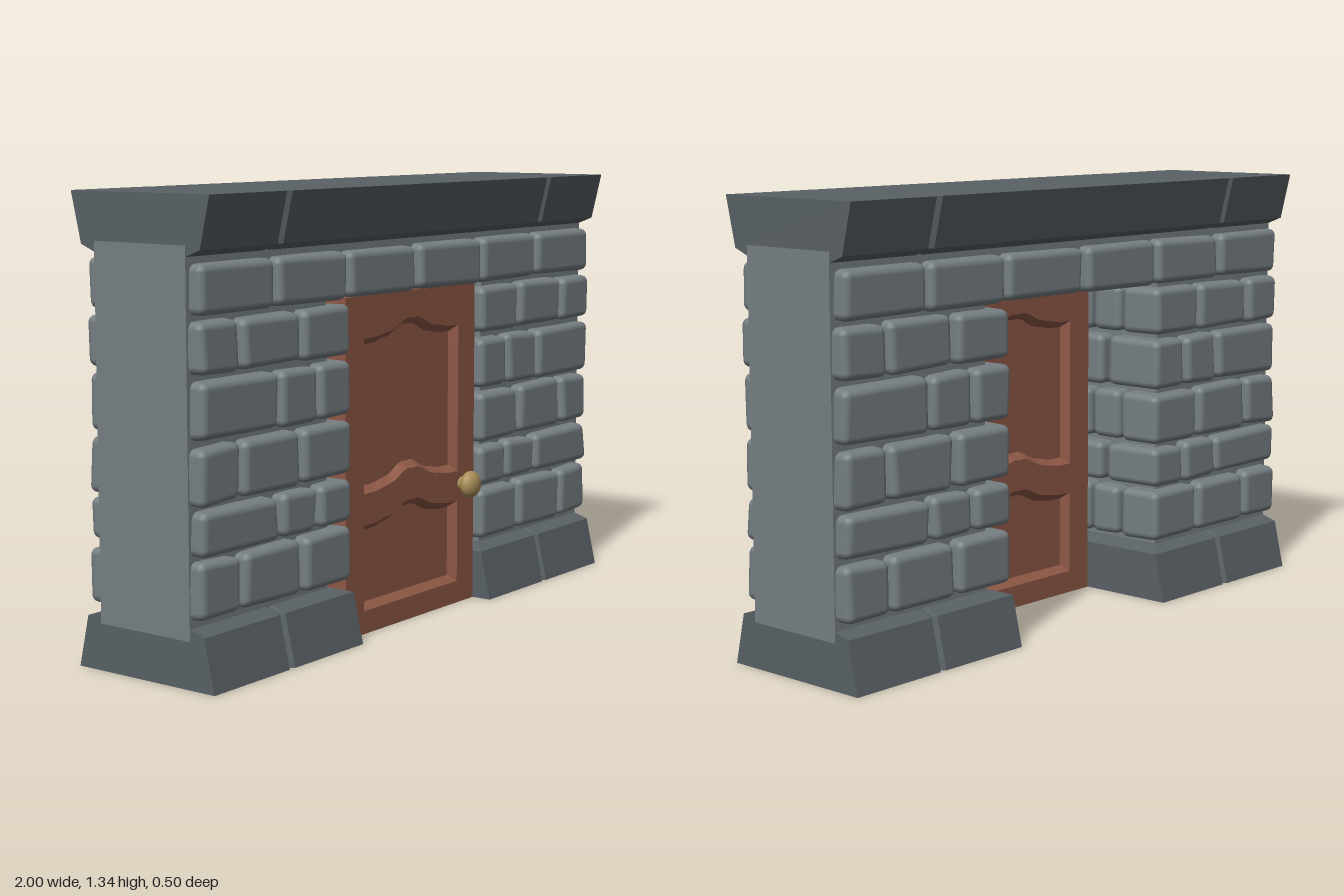
import * as THREE from 'three';
import { RoundedBoxGeometry } from 'three/addons/geometries/RoundedBoxGeometry.js';

const material = (color, extra = {}) => new THREE.MeshStandardMaterial({ color, ...extra });
const stone = material(0x767f83);
const darkStone = material(0x596165, { flatShading: true });
const wood = material(0x8f5846);
const woodTrim = material(0x8f5846, { flatShading: true, side: THREE.DoubleSide });
const brass = material(0xa88f58);

const DOOR_FRONT = 0.185, DOOR_BACK = 0.065, RECESS = 0.025;

// Small repeatable generator for uneven stones
function seeded(seed) {
  return () => {
    seed = (seed * 16807) % 2147483647;
    return seed / 2147483647;
  };
}
const random = seeded(71);

function add(parent, name, geometry, mat) {
  const mesh = new THREE.Mesh(geometry, mat);
  mesh.name = name;
  parent.add(mesh);
  return mesh;
}

// Rounded stone between opposite corners, with its eight corners nudged a little
function brick(parent, name, [xa, xb], [ya, yb], [za, zb], wobble = 0.006) {
  const size = [Math.abs(xb - xa), yb - ya, Math.abs(zb - za)];
  const geometry = new RoundedBoxGeometry(...size, 2, 0.022);
  const nudge = Array.from({ length: 8 }, () => [0, 1, 2].map(() => (random() - 0.5) * 2 * wobble));
  const p = geometry.attributes.position;
  for (let i = 0; i < p.count; i++) {
    const v = [p.getX(i), p.getY(i), p.getZ(i)];
    const t = v.map((c, k) => c / size[k] + 0.5);
    const moved = v.map((c, k) => {
      for (let corner = 0; corner < 8; corner++) {
        const weight = t.reduce((w, f, axis) => w * ((corner >> axis) & 1 ? f : 1 - f), 1);
        c += weight * nudge[corner][k];
      }
      return c;
    });
    p.setXYZ(i, ...moved);
  }
  const mesh = add(parent, name, geometry, stone);
  mesh.position.set((xa + xb) / 2, (ya + yb) / 2, (za + zb) / 2);
  mesh.position.x = THREE.MathUtils.clamp(mesh.position.x, -0.994 + size[0] / 2, 0.994 - size[0] / 2);
}

// Tapered block lofted through levels [y, half depth, inset of left end, inset of right end];
// cutL and cutR chamfer the vertical corners to form the joints
function taperedBlock(parent, name, x0, x1, cutL, cutR, levels) {
  const positions = [], index = [];
  for (const [y, h, inL = 0, inR = 0] of levels) {
    const a = x0 + inL, b = x1 - inR;
    const ring = [[a, h - cutL], [a + cutL, h], [b - cutR, h], [b, h - cutR],
      [b, cutR - h], [b - cutR, -h], [a + cutL, -h], [a, cutL - h]];
    for (const [x, z] of ring) positions.push(x, y, z);
  }
  for (let l = 0; l < levels.length - 1; l++) {
    for (let i = 0; i < 8; i++) {
      const a = l * 8 + i, b = l * 8 + (i + 1) % 8;
      index.push(a, b, b + 8, a, b + 8, a + 8);
    }
  }
  const top = (levels.length - 1) * 8;
  for (let i = 1; i < 7; i++) {
    index.push(0, i + 1, i);
    index.push(top, top + i, top + i + 1);
  }
  const geometry = new THREE.BufferGeometry();
  geometry.setAttribute('position', new THREE.Float32BufferAttribute(positions, 3));
  geometry.setIndex(index);
  const flat = geometry.toNonIndexed();
  flat.computeVertexNormals();
  add(parent, name, flat, darkStone);
}

// Panel outline with an ogee arch on its top and, optionally, bottom edge
function panelOutline(y0, rise0, y1, rise1, inset) {
  const half = 0.245 - inset, steps = 20, points = [];
  const wave = u => {
    const a = Math.min(1, Math.abs(u) / 0.75);
    return 0.5 + 0.5 * Math.cos(Math.PI * a) + 0.09 * Math.sin(Math.PI * 3 * a);
  };
  for (let i = 0; i <= steps; i++) {
    const u = (i / steps) * 2 - 1;
    points.push(new THREE.Vector2(u * half, y0 + inset + rise0 * wave(u)));
  }
  for (let i = steps; i >= 0; i--) {
    const u = (i / steps) * 2 - 1;
    points.push(new THREE.Vector2(u * half, y1 - inset + rise1 * wave(u)));
  }
  return points;
}

// Sloping moulding between two matching outlines
function moulding(parent, outer, zOuter, inner, zInner) {
  const positions = [];
  outer.forEach((a, i) => {
    const j = (i + 1) % outer.length, b = outer[j], c = inner[j], d = inner[i];
    positions.push(a.x, a.y, zOuter, b.x, b.y, zOuter, c.x, c.y, zInner);
    positions.push(a.x, a.y, zOuter, c.x, c.y, zInner, d.x, d.y, zInner);
  });
  const geometry = new THREE.BufferGeometry();
  geometry.setAttribute('position', new THREE.Float32BufferAttribute(positions, 3));
  geometry.computeVertexNormals();
  add(parent, 'panelMoulding', geometry, woodTrim);
}

function buildDoor() {
  const door = new THREE.Group();
  door.name = 'door';
  const frame = new THREE.Shape([[-0.335, 0], [0.335, 0], [0.335, 1.014], [-0.335, 1.014]]
    .map(([x, y]) => new THREE.Vector2(x, y)));
  for (const panel of [[0.07, 0, 0.33, 0.042], [0.425, 0.045, 0.888, 0.042]]) {
    const outer = panelOutline(...panel, 0), inner = panelOutline(...panel, 0.02);
    frame.holes.push(new THREE.Path(outer));
    moulding(door, outer, DOOR_FRONT, inner, DOOR_FRONT - RECESS);
    moulding(door, outer, DOOR_BACK, inner, DOOR_BACK + RECESS);
  }
  const frameGeometry = new THREE.ExtrudeGeometry(frame, { depth: DOOR_FRONT - DOOR_BACK, bevelEnabled: false });
  add(door, 'doorFrame', frameGeometry.translate(0, 0, DOOR_BACK), wood);
  const slab = add(door, 'doorPanels',
    new THREE.BoxGeometry(0.6, 0.94, DOOR_FRONT - DOOR_BACK - 2 * RECESS), wood);
  slab.position.set(0, 0.5, (DOOR_FRONT + DOOR_BACK) / 2);

  // Flattened knob on a short stem
  const knob = add(door, 'doorKnob', new THREE.SphereGeometry(0.043, 24, 16), brass);
  knob.scale.z = 0.65;
  knob.position.set(0.267, 0.382, 0.22);
  const stem = add(door, 'knobStem', new THREE.CylinderGeometry(0.018, 0.022, 0.04, 16), brass);
  stem.rotation.x = Math.PI / 2;
  stem.position.set(0.267, 0.382, 0.195);
  return door;
}

export function createModel() {
  const model = new THREE.Group();
  model.name = 'stoneWallWithDoor';

  // Wall core with the doorway cut out of it
  const core = new THREE.Shape([[-1, 0.135], [-0.4, 0.135], [-0.4, 1.022], [0.4, 1.022],
    [0.4, 0.135], [1, 0.135], [1, 1.2], [-1, 1.2]].map(([x, y]) => new THREE.Vector2(x, y)));
  const coreGeometry = new THREE.ExtrudeGeometry(core, { depth: 0.33, bevelEnabled: false });
  add(model, 'wallCore', coreGeometry.translate(0, 0, -0.165), stone);

  // Cornice and plinth blocks
  const joint = 0.012, end = 0.999, split = 0.667;
  const cornice = [[1.17, 0.165], [1.19, 0.215], [1.335, 0.25]];
  taperedBlock(model, 'cornice', -end, -split, 0, joint, cornice);
  taperedBlock(model, 'cornice', -split, split, joint, joint, cornice);
  taperedBlock(model, 'cornice', split, end, joint, 0, cornice);
  const plinth = [[0, 0.25], [0.152, 0.215], [0.168, 0.165]];
  const innerL = [plinth[0], plinth[1], [0.168, 0.165, 0, 0.05]];
  const innerR = [plinth[0], plinth[1], [0.168, 0.165, 0.05, 0]];
  taperedBlock(model, 'plinth', -end, -split, 0, joint, plinth);
  taperedBlock(model, 'plinth', -split, -0.337, joint, 0, innerL);
  taperedBlock(model, 'plinth', 0.337, split, 0, joint, innerR);
  taperedBlock(model, 'plinth', split, end, joint, 0, plinth);

  // Courses of stones: two alternating layouts, mirrored left to right and front to back
  const wide = { stones: [[0.835, 0.995], [0.575, 0.815]], corner: [0.34, 0.553], reach: 0.065 };
  const narrow = { stones: [[0.673, 0.99], [0.5, 0.655]], corner: [0.337, 0.482], reach: 0.01 };
  const courses = [
    [0.19, 0.348, wide], [0.365, 0.487, narrow], [0.504, 0.661, wide],
    [0.678, 0.836, narrow], [0.853, 0.998, wide],
  ];
  const lintel = [[0.015, 0.338], [0.355, 0.66], [0.677, 0.985]];
  const mirrored = (range, sign) => range.map(v => v * sign);
  for (const sx of [-1, 1]) {
    for (const sz of [-1, 1]) {
      for (const [y0, y1, { stones, corner, reach }] of courses) {
        for (const s of stones) {
          brick(model, 'wallStone', mirrored(s, sx), [y0, y1], mirrored([0.12, 0.212], sz));
        }
        brick(model, 'cornerStone', mirrored(corner, sx), [y0, y1], mirrored([reach, 0.214], sz), 0.003);
      }
      for (const s of lintel) {
        brick(model, 'topStone', mirrored(s, sx), [1.014, 1.152], mirrored([0.12, 0.21], sz), 0.004);
      }
    }
    // Middle stones lining the doorway
    for (const [y0, y1, layout] of courses) {
      if (layout === wide) brick(model, 'jambStone', mirrored([0.342, 0.45], sx), [y0, y1], [-0.055, 0.055], 0.003);
    }
  }

  model.add(buildDoor());
  return model;
}
